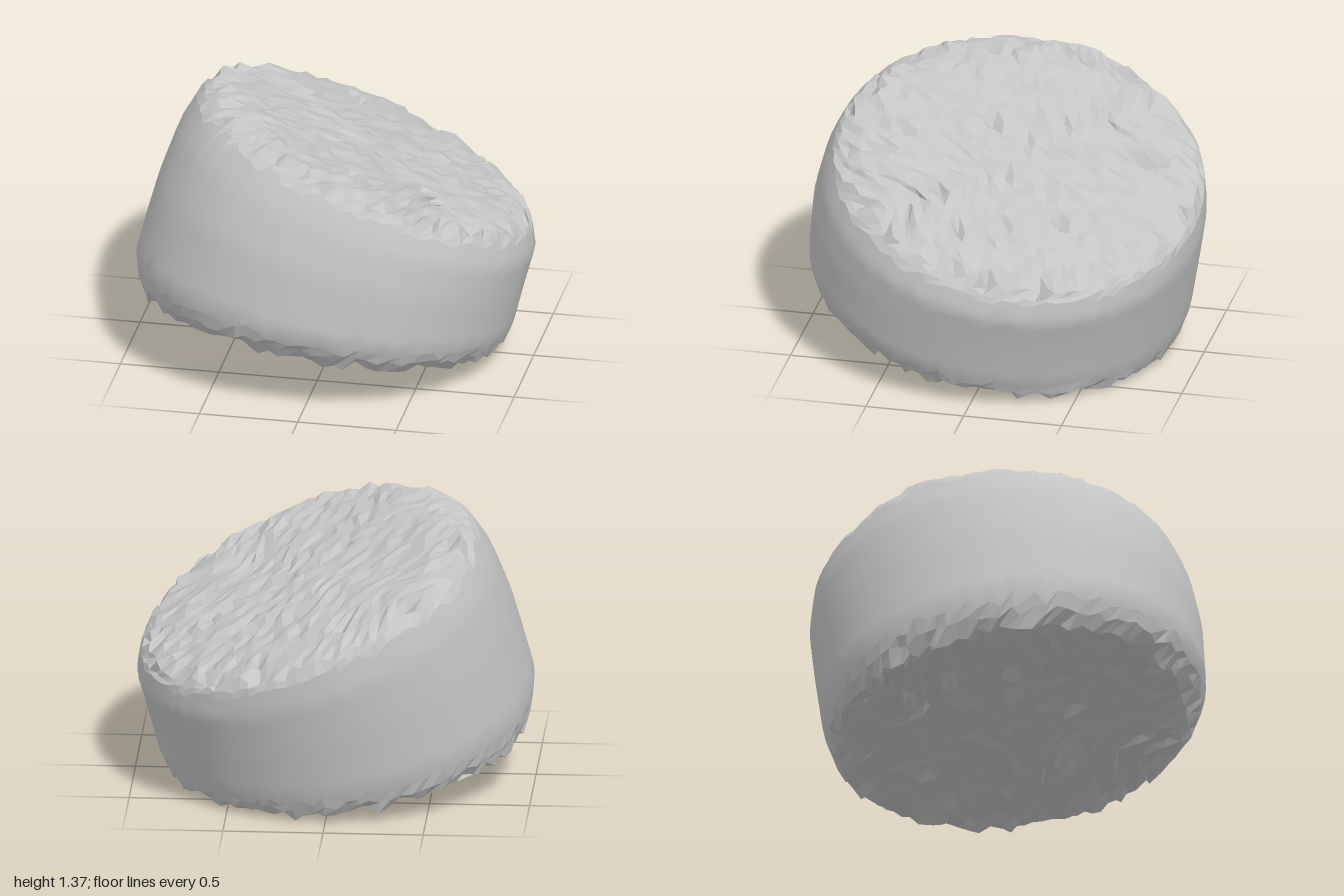
import * as THREE from 'three';
import { mergeVertices } from 'three/addons/utils/BufferGeometryUtils.js';

const SEGMENTS = 104;
const CELLS = SEGMENTS / 4;
const RIM = 0.1; // relative height of the broken rims

// Cross-sections from bottom to top: [t, left, right, back, front]
const SECTIONS = [
  [0, -0.94, 0.82, -0.83, 0.9],
  [0.06, -0.975, 0.86, -0.87, 0.965],
  [0.15, -0.985, 0.89, -0.9, 0.995],
  [0.5, -0.88, 0.945, -0.955, 0.955],
  [0.75, -0.79, 0.985, -0.99, 0.895],
  [0.92, -0.7, 0.965, -0.985, 0.83],
  [1, -0.63, 0.92, -0.95, 0.76],
];

// The two slanted cuts
const bottomCut = (x, z) => 0.175 - 0.12 * x + 0.15 * z;
const topCut = (x, z) => 1.115 - 0.4 * x + 0.2 * z;

function sectionAt(t) {
  let i = 0;
  while (i < SECTIONS.length - 2 && t > SECTIONS[i + 1][0]) i++;
  const a = SECTIONS[i], b = SECTIONS[i + 1];
  const f = (t - a[0]) / (b[0] - a[0]);
  return a.map((v, k) => v + (b[k] - v) * f);
}

// Uneven swelling of the wall on the four diagonals
function swelling(angle, t) {
  const lobe = (quarter) => Math.max(0, Math.cos(angle - (quarter * Math.PI) / 4)) ** 4;
  return 1 + 0.03 * lobe(1) + (0.02 - 0.06 * t ** 3) * lobe(3) + 0.06 * t * lobe(5) - 0.035 * t * lobe(7);
}

// Repeatable noise from -1 to 1, equal wherever two surfaces share a point
function jag(x, z, seed) {
  const s = Math.sin(Math.round(x * 1e4) * 0.0129 + Math.round(z * 1e4) * 0.0782 + seed * 3.7) * 437.58;
  return 2 * (s - Math.floor(s)) - 1;
}

// Point of the solid at an angle, a relative radius and a relative height
function stonePoint(angle, r, t) {
  const [, left, right, back, front] = sectionAt(t);
  const reach = (r * swelling(angle, t)) / 2;
  let x = (left + right) / 2 + reach * Math.cos(angle) * (right - left);
  let z = (back + front) / 2 + reach * Math.sin(angle) * (front - back);
  const low = bottomCut(x, z), high = topCut(x, z);
  let y = low + (high - low) * t;
  const rough = Math.max(0, 1 - Math.min(t, 1 - t) / RIM);
  if (rough > 0) {
    const seed = t < 0.5 ? 1 : 5;
    const n = jag(x, z, seed), pit = n > 0.95 ? 0.05 : 0;
    const rim = Math.pow(r, 12);
    const lift = rough * (n * (0.012 + 0.016 * rim) - pit);
    y += t < 0.5 ? -lift - 0.01 * rough * rim : lift - 0.03 * rough * rim;
    const dx = 0.014 * rough * jag(x, z, seed + 1);
    const dz = 0.014 * rough * jag(x, z, seed + 2);
    x += dx;
    z += dz;
  }
  return [x, y, z];
}

// Grid surface built from a point rule
function patch(nu, nv, point, flat, flip = false) {
  const positions = [], index = [];
  for (let i = 0; i <= nu; i++)
    for (let j = 0; j <= nv; j++) positions.push(...point(i, j));
  for (let i = 0; i < nu; i++)
    for (let j = 0; j < nv; j++) {
      const a = i * (nv + 1) + j, b = a + 1, c = a + nv + 1, d = c + 1;
      if (flip) index.push(a, c, b, b, c, d);
      else index.push(a, b, c, b, d, c);
    }
  let geometry = new THREE.BufferGeometry();
  geometry.setAttribute('position', new THREE.Float32BufferAttribute(positions, 3));
  geometry.setIndex(index);
  geometry = flat ? geometry.toNonIndexed() : mergeVertices(geometry, 1e-4);
  geometry.computeVertexNormals();
  return geometry;
}

// Ring of wall between two relative heights, toothed where it meets a rim
function wall(t0, t1, rows, flat) {
  const toothed = (k, t) => (t === 0 || t === 1 ? t : t + 0.035 * jag(k, t, 1));
  return patch(SEGMENTS, rows, (i, j) => {
    const k = i % SEGMENTS;
    const from = toothed(k, t0), to = toothed(k, t1);
    return stonePoint((k / SEGMENTS) * Math.PI * 2, 1, j === rows ? to : from + ((to - from) * j) / rows);
  }, flat);
}

// Square grid wrapped onto a disc, so that its edge meets the wall
function cap(t) {
  return patch(CELLS, CELLS, (i, j) => {
    const u = (2 * i) / CELLS - 1, v = (2 * j) / CELLS - 1;
    if (u === 0 && v === 0) return stonePoint(0, 0, t);
    const wide = Math.abs(u) >= Math.abs(v);
    const r = wide ? u : v;
    const angle = wide ? (Math.PI / 4) * (v / u) : Math.PI / 2 - (Math.PI / 4) * (u / v);
    return stonePoint(r < 0 ? angle + Math.PI : angle, Math.abs(r), t);
  }, true, t < 0.5);
}

export function createModel() {
  const stone = new THREE.MeshStandardMaterial({ color: 0xc4c4c4 });
  stone.name = 'grey stone';

  const body = new THREE.Group();
  body.name = 'stoneBody';
  const add = (name, geometry) => {
    const mesh = new THREE.Mesh(geometry, stone);
    mesh.name = name;
    body.add(mesh);
  };

  add('smoothWall', wall(RIM, 1 - RIM, 14, false));
  add('lowerBrokenRim', wall(0, RIM, 2, true));
  add('upperBrokenRim', wall(1 - RIM, 1, 2, true));
  add('bottomBrokenFace', cap(0));
  add('topBrokenFace', cap(1));

  // Stand it on the ground, centred
  const box = new THREE.Box3().setFromObject(body);
  const centre = box.getCenter(new THREE.Vector3());
  body.position.set(-centre.x, -box.min.y, -centre.z);

  const model = new THREE.Group();
  model.name = 'stoneSlice';
  model.add(body);
  return model;
}
